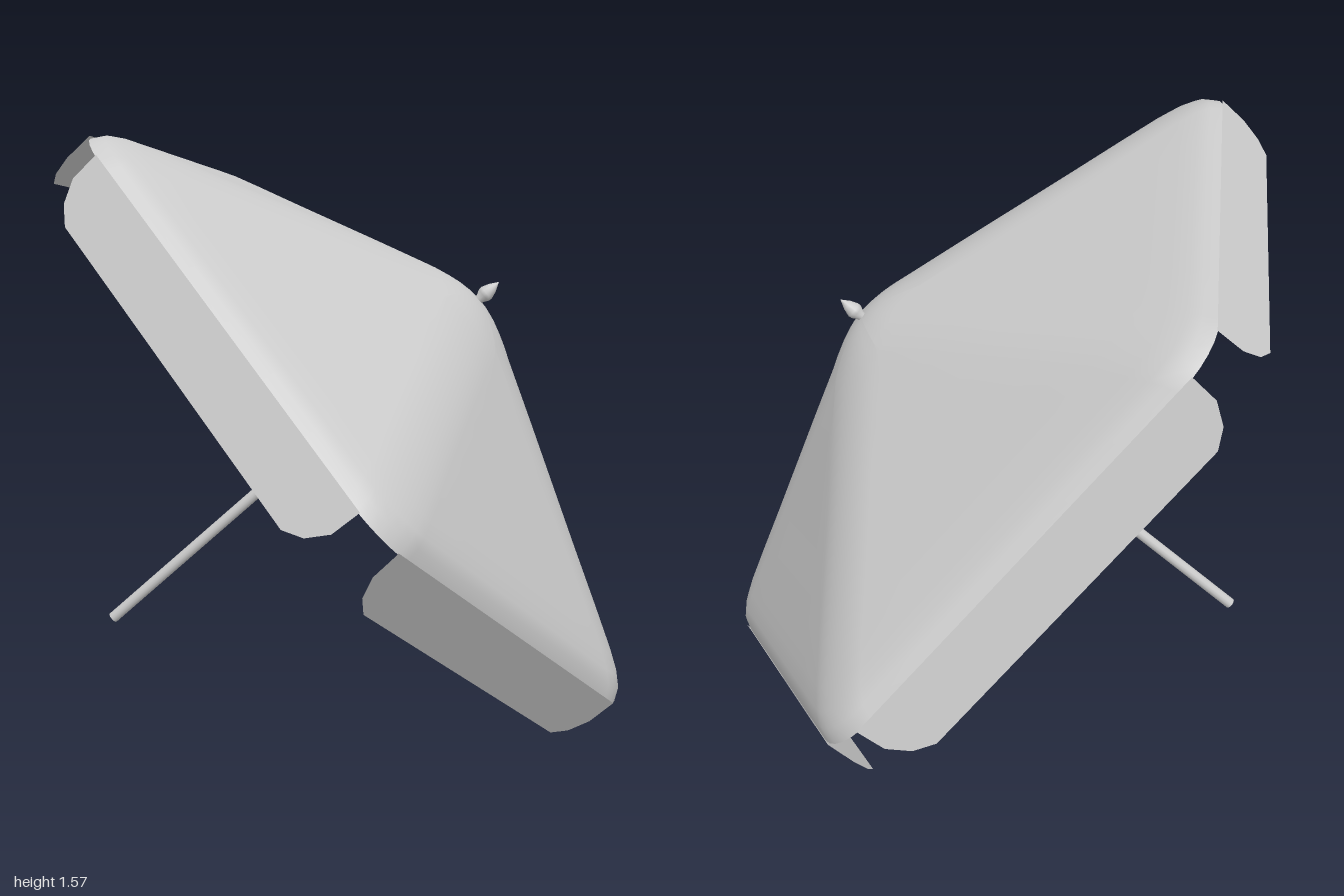
import * as THREE from 'three';

const RADIUS = 1.095;                              // sharp-corner radius of the pentagon
const APOTHEM = RADIUS * Math.cos(Math.PI / 5);
const STEP = (Math.PI * 2) / 5;
const TURN = THREE.MathUtils.degToRad(7);          // direction of the lowest corner

const grey = new THREE.MeshStandardMaterial({ color: 0xcccccc });
const cloth = new THREE.MeshStandardMaterial({ color: 0xcccccc, side: THREE.DoubleSide });

function part(name, geometry, material) {
  const mesh = new THREE.Mesh(geometry, material);
  mesh.name = name;
  return mesh;
}

// Pentagon of relative size t with rounded corners, as [x, z] points
function roundedPentagon(t) {
  const r = Math.min(0.17, APOTHEM * t);
  const centre = RADIUS * t - r / Math.cos(Math.PI / 5);
  const arcSteps = 6, edgeSteps = 6, points = [];
  const corner = (k, s) => {
    const a = TURN + k * STEP, b = a + (s - 0.5) * STEP;
    return [centre * Math.cos(a) + r * Math.cos(b), centre * Math.sin(a) + r * Math.sin(b)];
  };
  for (let k = 0; k < 5; k++) {
    for (let i = 0; i <= arcSteps; i++) points.push(corner(k, i / arcSteps));
    const p = corner(k, 1), q = corner(k + 1, 0);
    for (let i = 1; i < edgeSteps; i++) {
      const f = i / edgeSteps;
      points.push([p[0] + (q[0] - p[0]) * f, p[1] + (q[1] - p[1]) * f]);
    }
  }
  return points;
}

// Five-sided roof lofted from rounded pentagons [size, height]
function canopyGeometry() {
  const rings = [
    [0.04, 0.429], [0.08, 0.422], [0.12, 0.411], [0.16, 0.398], [0.2, 0.382], [0.35, 0.319],
    [0.5, 0.255], [0.65, 0.191], [0.8, 0.128], [0.9, 0.085], [0.95, 0.06], [0.98, 0.038], [1, 0.005],
  ];
  const positions = [0, 0.431, 0], index = [];
  let n = 0;
  rings.forEach(([t, h]) => {
    const loop = roundedPentagon(t);
    n = loop.length;
    loop.forEach(([x, z]) => positions.push(x, h, z));
  });
  for (let i = 0; i < n; i++) {
    const j = (i + 1) % n;
    index.push(0, 1 + j, 1 + i);
    for (let k = 0; k < rings.length - 1; k++) {
      const a = 1 + k * n, b = a + n;
      index.push(a + i, a + j, b + i, a + j, b + j, b + i);
    }
  }
  const geometry = new THREE.BufferGeometry();
  geometry.setAttribute('position', new THREE.Float32BufferAttribute(positions, 3));
  geometry.setIndex(index);
  geometry.computeVertexNormals();
  return geometry;
}

// Hanging flap with clipped lower corners
function flapGeometry() {
  const side = [[0.565, 0.01], [0.56, -0.07], [0.525, -0.125], [0.475, -0.156]];
  const outline = [...side, ...side.map(([x, y]) => [-x, y]).reverse()];
  return new THREE.ShapeGeometry(new THREE.Shape(outline.map(([x, y]) => new THREE.Vector2(x, y))));
}

export function createModel() {
  const model = new THREE.Group();
  model.name = 'parasol';

  // Everything is built upright, then leaned over towards +x
  const leaning = new THREE.Group();
  leaning.name = 'leaningParasol';
  leaning.position.set(0, 0.868, -0.04);
  leaning.rotation.z = -THREE.MathUtils.degToRad(48.4);
  model.add(leaning);

  leaning.add(part('canopy', canopyGeometry(), cloth));

  // One flap along each straight edge of the rim
  const flap = flapGeometry();
  for (let k = 0; k < 5; k++) {
    const a = TURN + (k + 0.5) * STEP;
    const mesh = part('flap', flap, cloth);
    mesh.position.set(APOTHEM * Math.cos(a), 0, APOTHEM * Math.sin(a));
    mesh.rotation.y = Math.PI / 2 - a;
    leaning.add(mesh);
  }

  // Pole reaching up to the apex
  const pole = part('pole', new THREE.CylinderGeometry(0.015, 0.015, 1.35, 12), grey);
  pole.position.y = -0.93 + 1.35 / 2;
  leaning.add(pole);

  // Pointed knob on top
  const knob = [[0.012, 0.41], [0.013, 0.435], [0.02, 0.448], [0.021, 0.458], [0.014, 0.478], [0, 0.502]];
  leaning.add(part('finial', new THREE.LatheGeometry(knob.map(([x, y]) => new THREE.Vector2(x, y)), 12), grey));

  return model;
}
